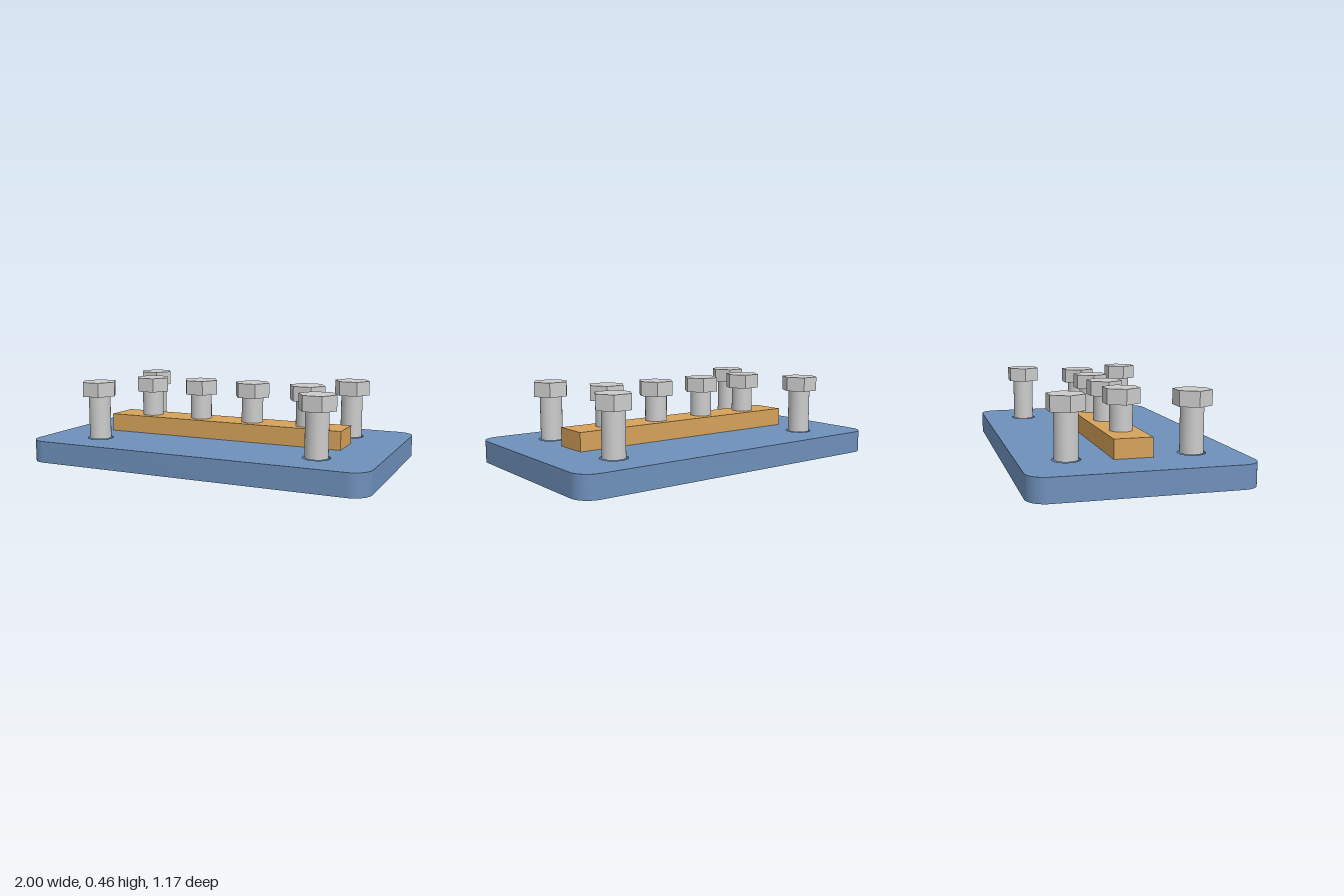
import * as THREE from 'three';
import { toCreasedNormals } from 'three/addons/utils/BufferGeometryUtils.js';

const PLATE = { x: 1, z: 0.583, h: 0.125, corner: 0.104 };
const BAR = { x: 0.729, z: 0.104, h: 0.104 };
const HEAD_Y = 0.375, HEAD_H = 0.083, HEAD_R = 0.104, SHANK_R = 0.0625, HOLE_R = 0.074;
const BOLT_X = 0.667, BOLT_Z = 0.333;
const corners = [[-1, -1], [1, -1], [1, 1], [-1, 1]].map(([i, j]) => [i * BOLT_X, j * BOLT_Z]);

const blue = new THREE.MeshStandardMaterial({ color: 0x6e90bb });
const orange = new THREE.MeshStandardMaterial({ color: 0xd6a25a });
const grey = new THREE.MeshStandardMaterial({ color: 0xcccccc });

function part(name, geometry, material, y = 0) {
  const mesh = new THREE.Mesh(geometry, material);
  mesh.name = name;
  mesh.position.y = y;
  return mesh;
}

// Rounded plate with a clearance hole under each corner bolt
function basePlate() {
  const { x, z, h, corner: r } = PLATE;
  const s = new THREE.Shape();
  s.absarc(x - r, z - r, r, 0, Math.PI / 2);
  s.absarc(-x + r, z - r, r, Math.PI / 2, Math.PI);
  s.absarc(-x + r, -z + r, r, Math.PI, Math.PI * 1.5);
  s.absarc(x - r, -z + r, r, Math.PI * 1.5, Math.PI * 2);
  for (const [bx, bz] of corners) {
    s.holes.push(new THREE.Path().absarc(bx, bz, HOLE_R, 0, Math.PI * 2, true));
  }
  const g = new THREE.ExtrudeGeometry(s, { depth: h, bevelEnabled: false, curveSegments: 24 });
  g.rotateX(-Math.PI / 2);
  return part('basePlate', toCreasedNormals(g, 0.6), blue);
}

// Hex-headed bolt standing on the surface at height baseY
function bolt(name, x, z, baseY) {
  const g = new THREE.Group();
  g.name = name;
  const len = HEAD_Y - baseY;
  const shank = new THREE.CylinderGeometry(SHANK_R, SHANK_R, len, 40);
  const head = toCreasedNormals(
    new THREE.CylinderGeometry(HEAD_R, HEAD_R, HEAD_H, 6, 1, false, Math.PI / 2), 0.5);
  g.add(part('shank', shank, grey, baseY + len / 2));
  g.add(part('hexHead', head, grey, HEAD_Y + HEAD_H / 2));
  g.position.set(x, 0, z);
  return g;
}

export function createModel() {
  const model = new THREE.Group();
  model.name = 'boltedPlate';
  model.add(basePlate());

  // Raised bar along the middle
  const barGeometry = new THREE.BoxGeometry(BAR.x * 2, BAR.h, BAR.z * 2);
  model.add(part('centreBar', barGeometry, orange, PLATE.h + BAR.h / 2));

  // Four corner bolts and a row of four on the bar
  corners.forEach(([x, z], i) => model.add(bolt(`cornerBolt${i + 1}`, x, z, PLATE.h)));
  for (let i = 0; i < 4; i++) {
    model.add(bolt(`barBolt${i + 1}`, -0.5 + i / 3, 0, PLATE.h + BAR.h));
  }
  return model;
}
